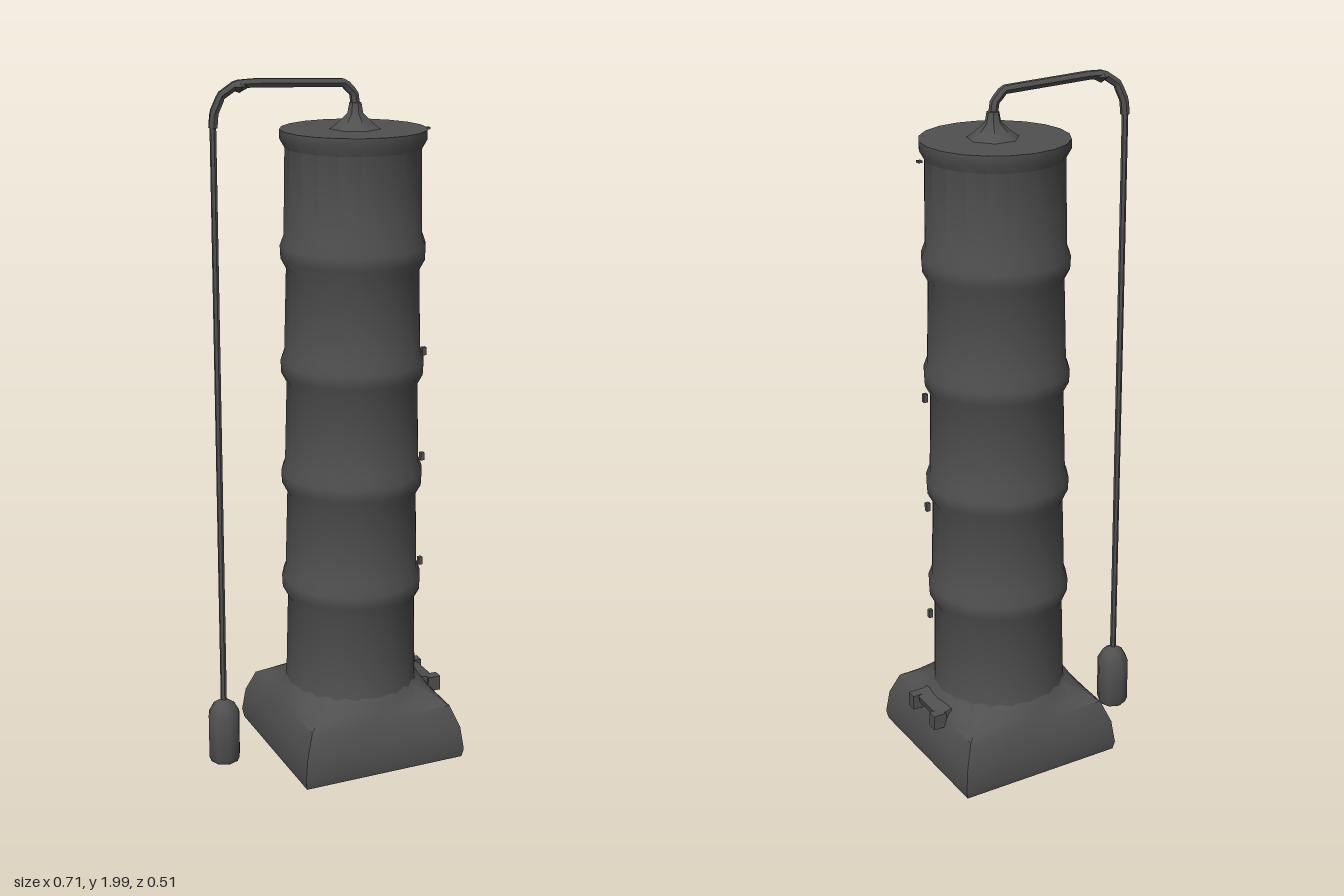
import * as THREE from 'three';
import { toCreasedNormals } from 'three/addons/utils/BufferGeometryUtils.js';

const CX = 0.09; // column axis
const SIDES = 20;
const mat = new THREE.MeshStandardMaterial({ color: 0x505050 });

function part(group, name, geometry, x = 0, y = 0, z = 0, crease = 0.6) {
  const mesh = new THREE.Mesh(toCreasedNormals(geometry, crease), mat);
  mesh.name = name;
  mesh.position.set(x, y, z);
  group.add(mesh);
  return mesh;
}

const lathe = (pairs, sides) =>
  new THREE.LatheGeometry(pairs.map(([r, y]) => new THREE.Vector2(r, y)), sides);

// Stacked sections [y, half width, roundness], square (0) to circle (1), closed below
function squareToRound(sections, n = 24) {
  const pos = [0, sections[0][0], 0], index = [];
  for (const [y, half, round] of sections) {
    for (let i = 0; i < n; i++) {
      const a = Math.PI / 4 + (i / n) * Math.PI * 2;
      const c = Math.cos(a), s = Math.sin(a);
      const square = half / Math.max(Math.abs(c), Math.abs(s));
      const r = THREE.MathUtils.lerp(square, half, round);
      pos.push(r * c, y, r * s);
    }
  }
  for (let i = 0; i < n; i++) {
    const j = (i + 1) % n;
    index.push(0, 1 + i, 1 + j);
    for (let k = 0; k < sections.length - 1; k++) {
      const a = 1 + k * n + i, b = 1 + k * n + j;
      index.push(a, a + n, b, b, a + n, b + n);
    }
  }
  const g = new THREE.BufferGeometry();
  g.setAttribute('position', new THREE.Float32BufferAttribute(pos, 3));
  g.setIndex(index);
  g.computeVertexNormals();
  return g;
}

export function createModel() {
  const model = new THREE.Group();
  model.name = 'columnWithHangingWeight';

  // Square plinth rising into the round column
  part(model, 'base', squareToRound([
    [0.005, 0.25, 0], [0.03, 0.255, 0], [0.1, 0.246, 0], [0.165, 0.225, 0.06],
    [0.185, 0.215, 0.4], [0.215, 0.2, 1], [0.23, 0.19, 1],
  ]), CX);

  // Column with four flared collars and a lipped flat top
  const profile = [[0.2, 0.2], [0.194, 0.23]];
  for (const y of [0.53, 0.855, 1.185, 1.515]) {
    profile.push([0.188, y - 0.05], [0.203, y - 0.022], [0.205, y + 0.015], [0.194, y + 0.045]);
  }
  profile.push([0.19, 1.8], [0.204, 1.825], [0.204, 1.85], [0, 1.85]);
  part(model, 'column', lathe(profile, SIDES), CX);

  // Small conical cap the arm grows from
  part(model, 'cap', lathe([[0.078, 1.845], [0.045, 1.87], [0.022, 1.892], [0.017, 1.92], [0, 1.925]], 7), CX + 0.005);

  // Bent arm
  const arm = new THREE.CurvePath();
  const pts = [
    [0.097, 1.9, 0], [0.09, 1.945, 0], [0.062, 1.974, 0], [-0.2, 1.985, -0.003],
    [-0.25, 1.983, -0.003], [-0.29, 1.955, -0.01], [-0.308, 1.91, -0.018], [-0.311, 1.87, -0.02],
  ].map(p => new THREE.Vector3(...p));
  for (let i = 1; i < pts.length; i++) arm.add(new THREE.LineCurve3(pts[i - 1], pts[i]));
  part(model, 'arm', new THREE.TubeGeometry(arm, 48, 0.013, 6, false));
  const knuckle = part(model, 'armKnuckle', new THREE.OctahedronGeometry(0.024), -0.242, 1.978, -0.003);
  knuckle.scale.set(1.5, 0.75, 1);

  // Hanging rod and weight
  part(model, 'rod', new THREE.CylinderGeometry(0.009, 0.009, 1.71, 6), -0.311, 1.035, -0.02);
  part(model, 'weight', lathe([
    [0, 0.005], [0.042, 0.005], [0.048, 0.02], [0.048, 0.155], [0.032, 0.185], [0.009, 0.2],
  ], 8), -0.311, 0, -0.02, 0.9);

  // Bracket on the side of the base
  const bracket = new THREE.Group();
  bracket.name = 'bracket';
  model.add(bracket);
  const plate = part(bracket, 'bracketPlate', new THREE.BoxGeometry(0.045, 0.025, 0.15), 0.312, 0.18, 0);
  plate.rotation.z = -0.25;
  for (const side of [-1, 1]) {
    part(bracket, 'bracketLug', new THREE.BoxGeometry(0.04, 0.045, 0.03), 0.333, 0.168, side * 0.065);
  }

  // Tiny pegs standing off the column
  for (const y of [0.52, 0.855, 1.18, 1.83]) {
    part(model, 'peg', new THREE.BoxGeometry(0.012, y > 1.5 ? 0.006 : 0.024, 0.012), 0.345, y, -0.055);
  }
  return model;
}
